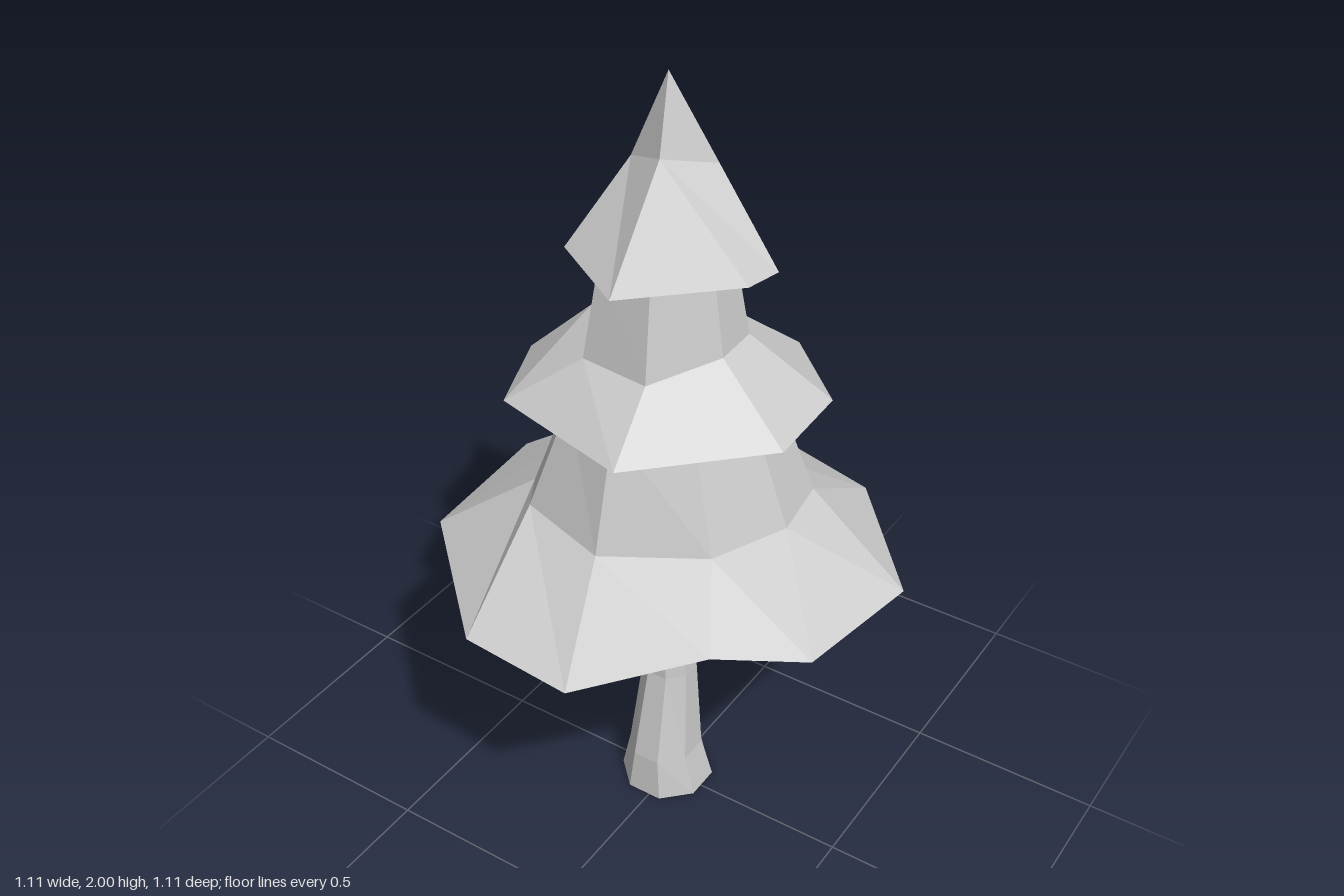
import * as THREE from 'three';

const material = new THREE.MeshStandardMaterial({ color: 0xcccccc, flatShading: true, side: THREE.DoubleSide });

// Joins stacked rings of [x, y, z] points, listed bottom to top; an optional cap centre closes the base.
function loft(name, rings, capCentre) {
  const pos = [];
  const tri = (a, b, c) => pos.push(...a, ...b, ...c);
  const n = rings[0].length;
  for (let i = 0; i < n; i++) {
    const j = (i + 1) % n;
    for (let r = 0; r < rings.length - 1; r++) {
      const lo = rings[r], hi = rings[r + 1];
      tri(lo[i], hi[i], hi[j]);
      tri(lo[i], hi[j], lo[j]);
    }
    if (capCentre) tri(capCentre, rings[0][i], rings[0][j]);
  }
  const geometry = new THREE.BufferGeometry();
  geometry.setAttribute('position', new THREE.Float32BufferAttribute(pos, 3));
  geometry.computeVertexNormals();
  const mesh = new THREE.Mesh(geometry, material);
  mesh.name = name;
  return mesh;
}

// Narrowed copy of a ring, levelled at height y
const narrowed = (ring, sx, sz, y) => ring.map(([x, , z]) => [x * sx, y, z * sz]);

// Eight-sided trunk section
const trunkRing = (y, cx, cz, rx, rz) => Array.from({ length: 8 }, (_, i) => {
  const a = (i + 0.5) * Math.PI / 4;
  return [cx + rx * Math.cos(a) * 1.06, y, cz + rz * Math.sin(a) * 1.06];
});

export function createModel() {
  const tree = new THREE.Group();
  tree.name = 'pineTree';

  // Trunk, flared at the foot
  tree.add(loft('trunk', [
    trunkRing(0, -0.015, -0.01, 0.115, 0.115),
    trunkRing(0.12, -0.013, 0, 0.088, 0.098),
    trunkRing(0.38, -0.008, -0.012, 0.067, 0.063),
    trunkRing(0.79, -0.02, -0.003, 0.045, 0.043),
  ]));

  // Lower branches: irregular rim, shoulder and tapering neck
  const lowerRim = [
    [-0.11, 0.79, -0.555], [0.28, 0.76, -0.49], [0.555, 0.765, -0.165], [0.50, 0.77, 0.18],
    [0.33, 0.82, 0.345], [0.08, 0.75, 0.55], [-0.21, 0.76, 0.535], [-0.535, 0.77, 0.23],
    [-0.555, 0.775, -0.155], [-0.395, 0.78, -0.37],
  ];
  const lowerShoulder = [
    [-0.04, 0.96, -0.31], [0.17, 0.94, -0.25], [0.28, 0.935, -0.2], [0.305, 0.935, -0.03],
    [0.23, 0.95, 0.18], [0, 0.945, 0.31], [-0.23, 0.96, 0.25], [-0.29, 0.95, 0.15],
    [-0.35, 0.92, -0.05], [-0.25, 0.95, -0.27],
  ];
  tree.add(loft('lowerBranches',
    [lowerRim, lowerShoulder, narrowed(lowerShoulder, 0.65, 0.75, 1.245)], [0, 0.77, 0]));

  // Middle branches
  const middleRim = [
    [-0.11, 1.25, -0.35], [0.155, 1.24, -0.325], [0.34, 1.235, -0.155], [0.35, 1.235, 0.085],
    [0.08, 1.23, 0.345], [-0.285, 1.235, 0.255], [-0.375, 1.235, 0.03], [-0.31, 1.24, -0.215],
  ];
  const middleShoulder = [
    [-0.05, 1.38, -0.175], [0.09, 1.38, -0.16], [0.16, 1.39, -0.08], [0.165, 1.39, 0.04],
    [0.06, 1.36, 0.19], [-0.12, 1.36, 0.17], [-0.2, 1.4, 0.02], [-0.17, 1.39, -0.11],
  ];
  tree.add(loft('middleBranches',
    [middleRim, middleShoulder, narrowed(middleShoulder, 0.8, 0.78, 1.6)], [0, 1.24, 0]));

  // Crown: six-sided rim, four-sided shoulder and pointed tip
  const crownRim = [
    [-0.05, 1.595, -0.265], [0.24, 1.58, -0.06], [0.225, 1.585, 0.04],
    [0.005, 1.58, 0.24], [-0.19, 1.60, 0.13], [-0.21, 1.61, -0.09],
  ];
  const back = [-0.04, 1.81, -0.09], right = [0.08, 1.79, -0.07];
  const front = [0.01, 1.83, 0.055], left = [-0.1, 1.79, 0];
  const tip = [-0.01, 2, -0.01];
  tree.add(loft('crown',
    [crownRim, [back, right, front, front, left, left], Array(6).fill(tip)], [0, 1.595, 0]));

  return tree;
}
